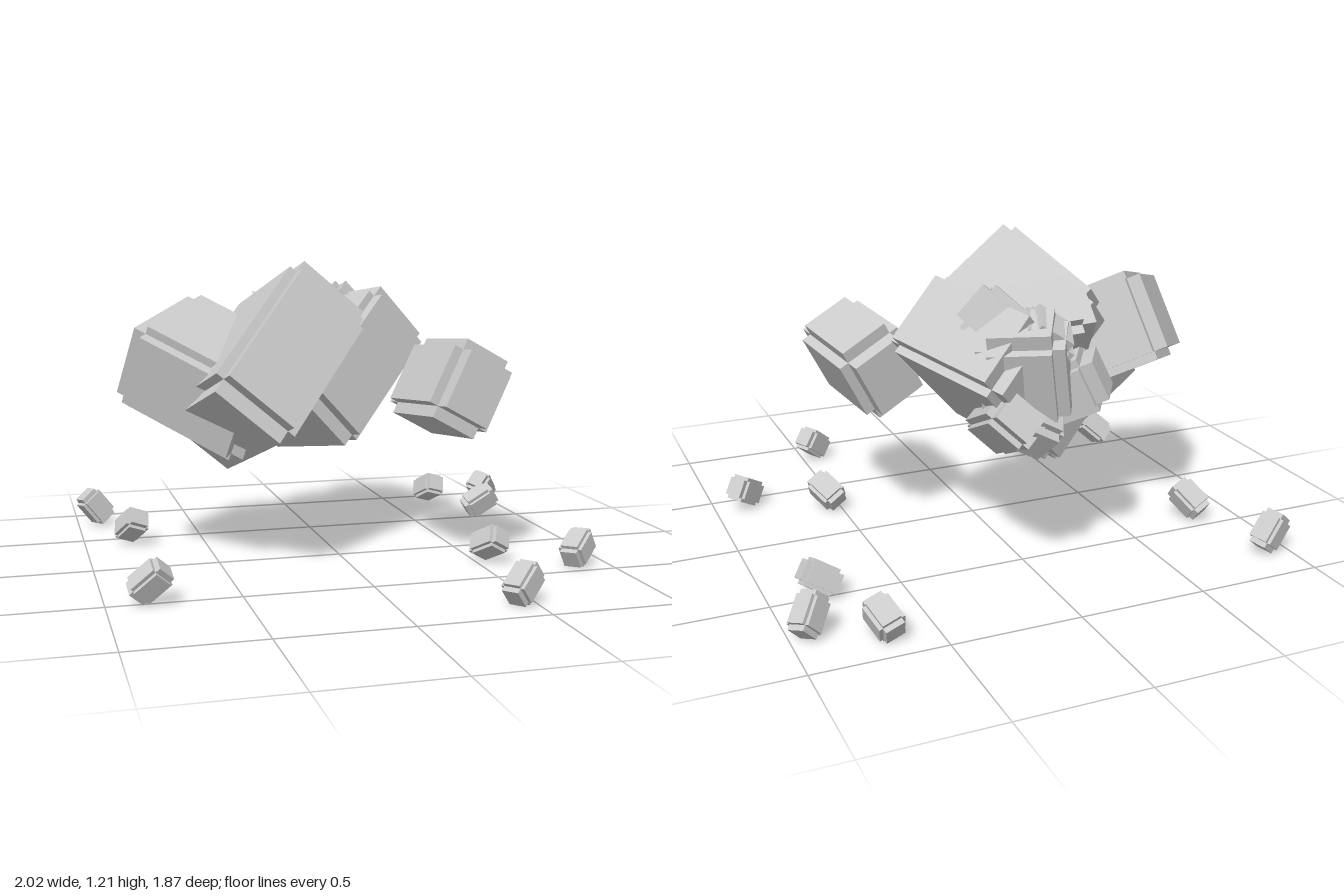
import * as THREE from 'three';

const material = new THREE.MeshStandardMaterial({ color: 0xcccccc, flatShading: true });

// A stepped rock: three crossed boxes, each reaching full size along one axis only.
// half = half sizes along the rock's own axes, axisA/axisB = directions of the first two.
function makeRock(name, center, half, axisA, axisB, inset = 0.82) {
  const rock = new THREE.Group();
  rock.name = name;
  for (let k = 0; k < 3; k++) {
    const size = half.map((h, i) => 2 * h * (i === k ? 1 : inset));
    const slab = new THREE.Mesh(new THREE.BoxGeometry(...size), material);
    slab.name = name + 'Slab' + (k + 1);
    rock.add(slab);
  }
  const a = new THREE.Vector3(...axisA).normalize();
  const c = a.clone().cross(new THREE.Vector3(...axisB)).normalize();
  const b = c.clone().cross(a);
  rock.quaternion.setFromRotationMatrix(new THREE.Matrix4().makeBasis(a, b, c));
  rock.position.set(...center);
  return rock;
}

export function createModel() {
  const model = new THREE.Group();
  model.name = 'floatingRocks';

  // Large boulders
  const boulders = new THREE.Group();
  boulders.name = 'boulders';
  boulders.add(
    makeRock('frontBoulder', [-0.3, 0.79, -0.02], [0.345, 0.192, 0.295], [-0.6, -0.68, 0.43], [0.72, -0.69, 0.07]),
    makeRock('rearBoulder', [0.045, 0.74, -0.34], [0.32, 0.175, 0.29], [-0.63, -0.68, 0.38], [0.675, -0.72, -0.175]),
    makeRock('sideBoulder', [-0.49, 0.75, -0.115], [0.295, 0.185, 0.26], [0.77, -0.42, 0.49], [0.2, 0.88, 0.44]),
    makeRock('smallBoulder', [0.427, 0.7, 0.13], [0.245, 0.17, 0.14], [0.14, 0.08, 0.98], [0.48, 0.87, 0], 0.72)
  );
  model.add(boulders);

  // Shards growing out of the rear boulder
  const shards = [
    [[-0.08, 0.92, -0.41], [0.2, 0.13, 0.13], [1, -0.1, 0.15], [-0.05, 0.75, -0.65]],
    [[0.03, 0.8, -0.57], [0.2, 0.16, 0.13], [0.2, 0.9, -0.2], [0.8, -0.1, 0.5]],
    [[0.1, 0.6, -0.55], [0.2, 0.08, 0.1], [0.1, 0.4, -0.9], [0.7, -0.6, -0.2]],
    [[0.1, 0.96, -0.48], [0.13, 0.1, 0.09], [0.6, 0.6, 0.5], [-0.6, 0.7, -0.1]],
    [[0.0, 0.88, -0.58], [0.13, 0.1, 0.1], [-0.4, 0.7, -0.4], [0.8, 0.3, 0.2]],
    [[-0.13, 0.69, -0.52], [0.18, 0.11, 0.11], [-0.7, 0.4, -0.5], [0.3, 0.9, 0.1]],
    [[0, 0.62, -0.59], [0.13, 0.08, 0.09], [0.3, -0.5, -0.7], [0.8, 0.4, 0]],
  ];
  const shardGroup = new THREE.Group();
  shardGroup.name = 'shards';
  shards.forEach(([center, half, a, b], i) =>
    shardGroup.add(makeRock('shard' + (i + 1), center, half, a, b, 0.72)));
  model.add(shardGroup);

  // Pebbles scattered on the ground: x, z and the direction of the long axis
  const pebbles = [
    [-0.925, -0.805, [-0.5, 0.65, 0.1]],
    [0.69, -0.86, [0.25, 0.4, 0.8]],
    [0.925, -0.755, [-0.45, 0.6, 0.5]],
    [0.81, -0.49, [0.8, 0.5, 0.1]],
    [-0.805, -0.405, [0.35, 0.5, 0.6]],
    [-0.84, 0.51, [0.6, 0.55, 0.2]],
    [0.87, 0.42, [0.6, 0.45, -0.5]],
    [0.45, 0.85, [0.6, 0.55, -0.4]],
    [0.555, 0.27, [0.4, 0.4, 0.7]],
  ];
  const pebbleGroup = new THREE.Group();
  pebbleGroup.name = 'pebbles';
  pebbles.forEach(([x, z, dir], i) => {
    const pebble = makeRock('pebble' + (i + 1), [x, 0, z], [0.075, 0.052, 0.049], dir, [-dir[1], dir[0], 0.3], 0.72);
    pebble.updateMatrixWorld(true);
    pebble.position.y = 0.005 - new THREE.Box3().setFromObject(pebble, true).min.y;
    pebbleGroup.add(pebble);
  });
  model.add(pebbleGroup);

  return model;
}
